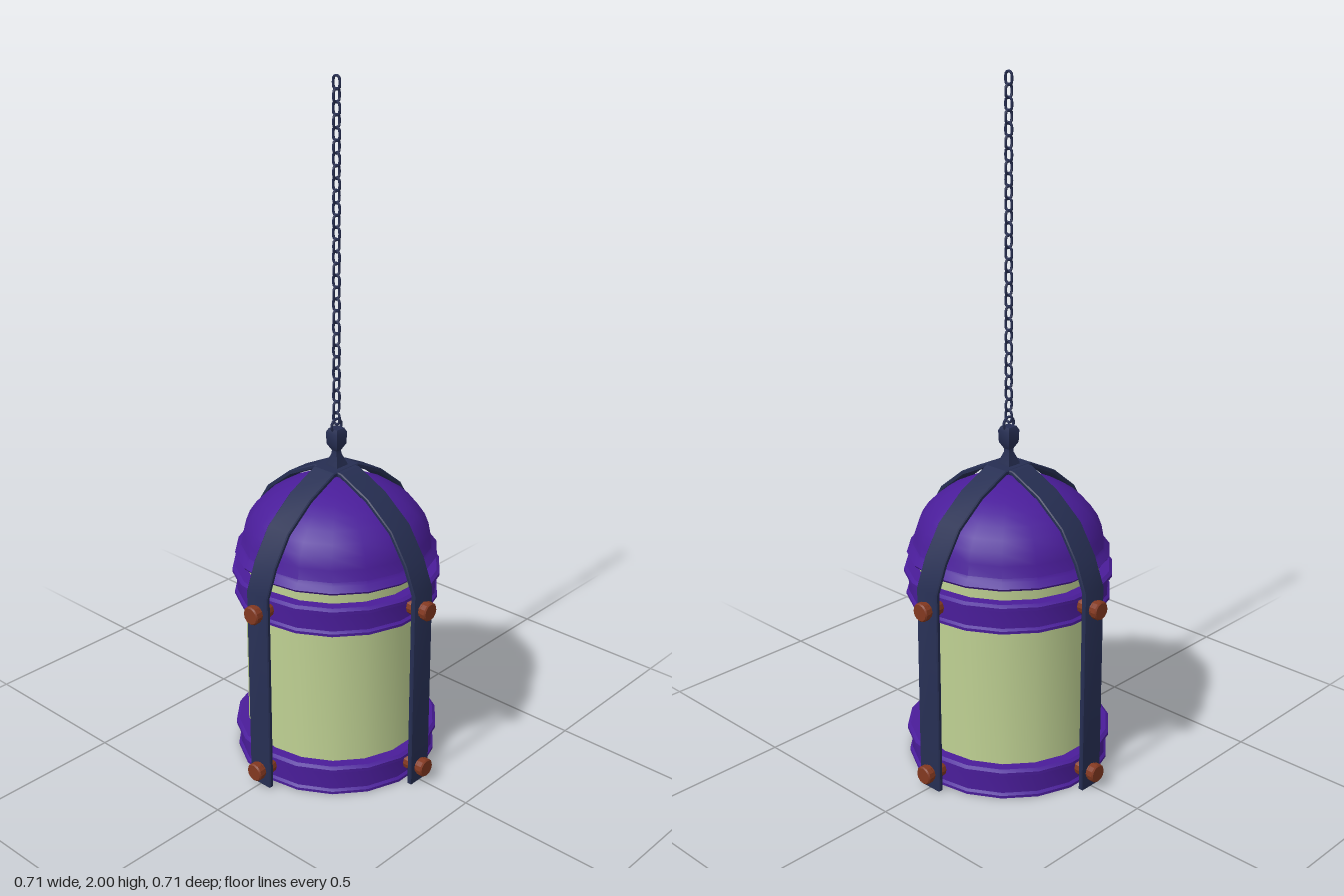
import * as THREE from 'three';
import { toCreasedNormals } from 'three/addons/utils/BufferGeometryUtils.js';

const SIDES = 18;
const paint = (color, side = THREE.FrontSide) => new THREE.MeshStandardMaterial({ color, side });
const purple = paint(0x4a1d9a, THREE.DoubleSide);
const iron = paint(0x262e52);
const glass = paint(0xbfd193);
const copper = paint(0x823820);

function part(name, geometry, material, parent) {
  const mesh = new THREE.Mesh(geometry, material);
  mesh.name = name;
  parent.add(mesh);
  return mesh;
}

// Turned part from [radius, y] pairs, listed bottom to top, with a corner on the x axis
function turned(points, sides = SIDES, turn = Math.PI / 2) {
  const profile = points.map(([r, y]) => new THREE.Vector2(r, y));
  const geometry = new THREE.LatheGeometry(profile, sides, turn);
  return toCreasedNormals(geometry, 0.5);
}

// Band with a thin lip along its upper edge and a small foot
function bandProfile(y0, y1) {
  return [[0.262, y0], [0.298, y0], [0.298, y0 + 0.008], [0.291, y0 + 0.014],
    [0.291, y1 - 0.02], [0.304, y1 - 0.016], [0.304, y1 - 0.007], [0.295, y1], [0.262, y1]];
}

// Flat strap that rises, arches over the dome and comes down again
function strapGeometry() {
  const half = [[0.321, 0.007], [0.321, 0.62], [0.289, 0.70], [0.235, 0.785], [0.148, 0.855], [0.05, 0.903]];
  const path = [...half, ...half.slice().reverse().map(([x, y]) => [-x, y])]
    .map(([x, y]) => new THREE.Vector2(x, y));
  const offset = (d) => path.map((p, i) => {
    const a = path[Math.max(i - 1, 0)], b = path[Math.min(i + 1, path.length - 1)];
    const t = b.clone().sub(a).normalize();
    return new THREE.Vector2(p.x + t.y * d, p.y - t.x * d);
  });
  const shape = new THREE.Shape([...offset(0.004), ...offset(-0.004).reverse()]);
  const geometry = new THREE.ExtrudeGeometry(shape, {
    depth: 0.074, bevelEnabled: true, bevelSize: 0.003, bevelThickness: 0.003, bevelSegments: 1,
  });
  geometry.translate(0, 0, -0.037);
  return toCreasedNormals(geometry, 0.4);
}

// Oval chain link standing in the xy plane
function linkGeometry() {
  const points = [];
  for (let i = 0; i < 12; i++) {
    const a = (i / 12) * Math.PI * 2;
    points.push(new THREE.Vector3(Math.cos(a) * 0.0115, Math.sin(a) * 0.011 + Math.sign(Math.round(Math.sin(a) * 100)) * 0.007, 0));
  }
  return new THREE.TubeGeometry(new THREE.CatmullRomCurve3(points, true), 16, 0.0038, 6, true);
}

export function createModel() {
  const lantern = new THREE.Group();
  lantern.name = 'hangingLantern';

  // Body
  part('glassCylinder', turned([[0.266, 0.02], [0.266, 0.665]]), glass, lantern);
  part('baseBand', turned([[0, 0.004], ...bandProfile(0.004, 0.096), [0, 0.096]]), purple, lantern);
  part('upperBand', turned(bandProfile(0.52, 0.607)), purple, lantern);

  // Domed lid with rim
  const dome = [[0, 0.645], [0.29, 0.645], [0.295, 0.652], [0.283, 0.668], [0.277, 0.676]];
  for (let i = 1; i <= 9; i++) {
    const a = (i / 9) * Math.PI / 2;
    dome.push([Math.max(0.275 * Math.cos(a), 0), 0.676 + 0.192 * Math.sin(a)]);
  }
  part('domedLid', turned(dome), purple, lantern);

  // Crossing straps
  const strap = strapGeometry();
  part('sideStrap', strap, iron, lantern);
  const frontStrap = part('frontStrap', strap, iron, lantern);
  frontStrap.rotation.y = Math.PI / 2;
  frontStrap.position.y = -0.0015;

  // Bolts through the straps
  const boltHead = turned([[0, 0.322], [0.024, 0.322], [0.024, 0.333], [0.0275, 0.336],
    [0.0275, 0.351], [0.024, 0.355], [0, 0.355]], 12);
  const spacer = turned([[0.024, 0.27], [0.027, 0.297], [0.024, 0.313], [0, 0.313]], 12);
  for (let i = 0; i < 4; i++) {
    const column = new THREE.Group();
    column.name = 'boltPair';
    column.rotation.y = i * Math.PI / 2;
    lantern.add(column);
    for (const y of [0.052, 0.565]) {
      for (const [name, geometry] of [['boltHead', boltHead], ['boltSpacer', spacer]]) {
        const bolt = part(name, geometry, copper, column);
        bolt.rotation.z = -Math.PI / 2;
        bolt.position.y = y;
      }
    }
  }

  // Square finial and hanging ring
  part('finial', turned([[0.034, 0.9], [0.03, 0.916], [0.014, 0.945], [0.013, 0.955],
    [0.028, 0.975], [0.03, 1.01], [0.022, 1.022], [0, 1.022]], 4, Math.PI / 4), iron, lantern);
  const ring = part('hangingRing', new THREE.TorusGeometry(0.02, 0.004, 6, 16), iron, lantern);
  ring.position.y = 1.029;

  // Chain of alternating links
  const chain = new THREE.Group();
  chain.name = 'chain';
  lantern.add(chain);
  const link = linkGeometry();
  for (let i = 0; i < 29; i++) {
    const mesh = part('chainLink', link, iron, chain);
    mesh.position.y = 1.978 - i * 0.0331;
    mesh.rotation.y = i % 2 ? 0 : Math.PI / 2;
  }
  return lantern;
}
